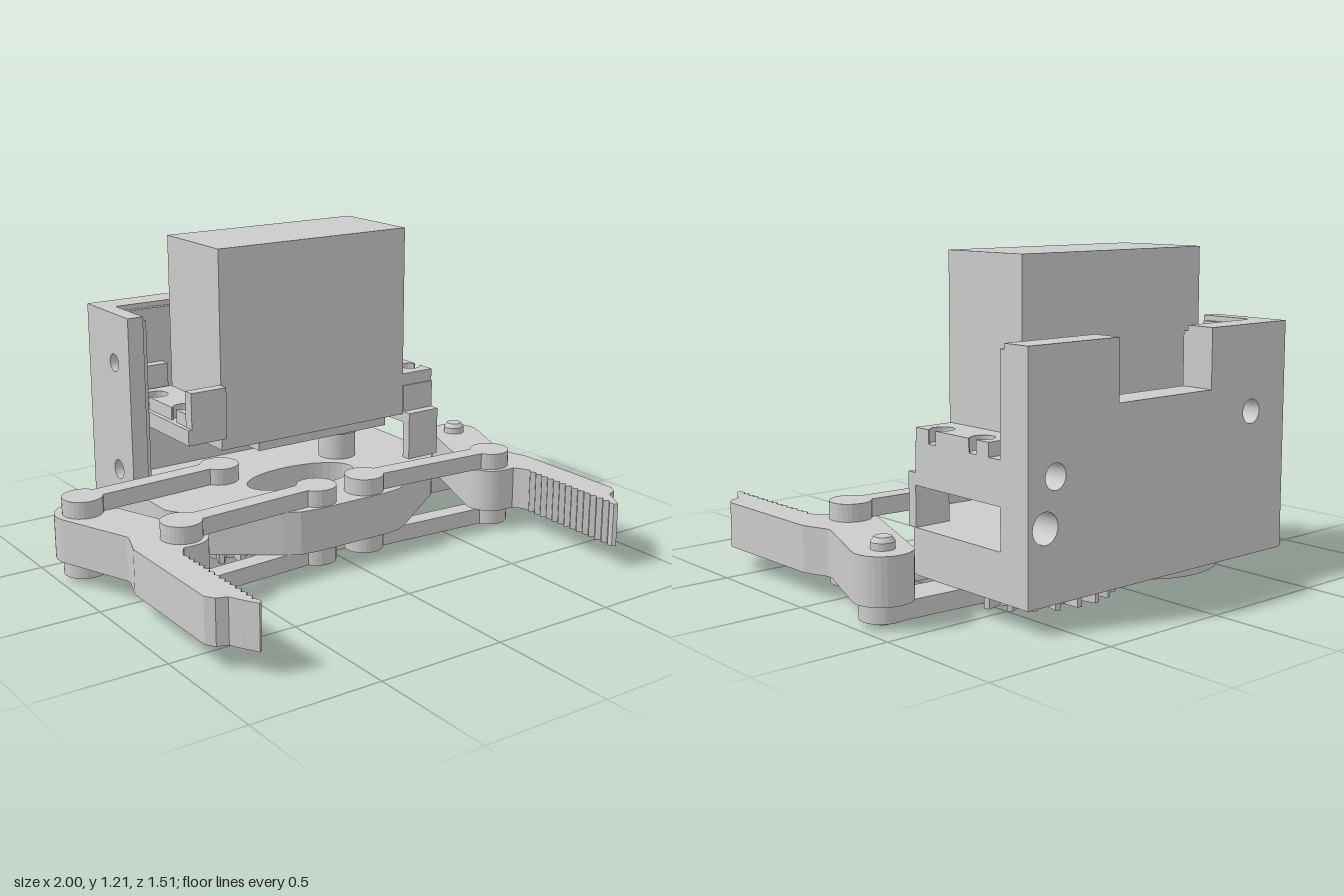
import * as THREE from 'three';

export function createModel() {
  const root = new THREE.Group();
  const mat = new THREE.MeshStandardMaterial({ color: 0xcccccc });
  const add = (name, geo, x = 0, y = 0, z = 0) => {
    const m = new THREE.Mesh(geo, mat);
    m.name = name;
    m.position.set(x, y, z);
    root.add(m);
    return m;
  };
  // box and vertical cylinder given by their limits
  const box = (name, x0, x1, y0, y1, z0, z1) =>
    add(name, new THREE.BoxGeometry(x1 - x0, y1 - y0, z1 - z0), (x0 + x1) / 2, (y0 + y1) / 2, (z0 + z1) / 2);
  const cyl = (name, x, z, y0, y1, r, rTop = r) =>
    add(name, new THREE.CylinderGeometry(rTop, r, y1 - y0, 28), x, (y0 + y1) / 2, z);
  const shapeOf = (pts, holes = []) => {
    const s = new THREE.Shape(pts.map(p => new THREE.Vector2(p[0], p[1])));
    for (const [x, y, rx, ry = rx] of holes)
      s.holes.push(new THREE.Path().absellipse(x, y, rx, ry, 0, Math.PI * 2, true));
    return s;
  };
  const extrude = (shape, depth) =>
    new THREE.ExtrudeGeometry(shape, { depth, bevelEnabled: false, curveSegments: 20 });
  // horizontal slab from an (x, z) outline
  const slab = (name, pts, y0, y1, holes) =>
    add(name, extrude(shapeOf(pts, holes), y1 - y0).rotateX(Math.PI / 2), 0, y1, 0);
  const arc = (cx, cz, r, a0, a1, n = 16) =>
    Array.from({ length: n + 1 }, (_, i) => {
      const a = a0 + (a1 - a0) * i / n;
      return [cx + r * Math.cos(a), cz + r * Math.sin(a)];
    });
  // link bar with a round eye at each end
  const link = (name, a, b, y0, y1, r = 0.077, w = 0.037) => {
    const dx = b[0] - a[0], dz = b[1] - a[1], L = Math.hypot(dx, dz);
    const d = Math.atan2(dz, dx), t = Math.asin(w / r);
    const pts = [
      ...arc(a[0], a[1], r, d + t, d + 2 * Math.PI - t, 24),
      ...arc(a[0] + dx, a[1] + dz, r, d - Math.PI + t, d + Math.PI - t, 24),
    ];
    return L > 0 && slab(name, pts, y0, y1);
  };

  // base plate with an oval window
  const half = [[0.635, -0.76], [0.635, -0.18], [0.622, -0.145], [0.59, -0.112],
    [0.29, 0.1], [0.23, 0.135], [0.16, 0.145]];
  slab('basePlate', [...half, ...half.map(([x, z]) => [-x, z]).reverse()], 0.085, 0.255,
    [[0, -0.21, 0.24, 0.125]]);

  // notched back plate, with a slightly lower inner layer
  const backPlate = (name, top, z0, depth) => add(name, extrude(shapeOf(
    [[-0.635, 0.255], [0.635, 0.255], [0.635, top], [0.23, top], [0.23, 0.72],
      [-0.23, 0.72], [-0.23, top], [-0.635, top]],
    [[0.515, 0.51, 0.045], [0.56, 0.345, 0.055], [-0.45, 0.62, 0.045]]), depth), 0, 0, z0);
  backPlate('backPlate', 0.94, -0.76, 0.115);
  backPlate('backPlateInner', 0.92, -0.645, 0.02);

  // side wall on the right
  const sideWall = (name, top, x1, depth, z1) => add(name, extrude(shapeOf(
    [[-0.645, 0.255], [z1, 0.255], [z1, top], [-0.645, top]],
    [[-0.54, 0.315, 0.038], [-0.545, 0.745, 0.035]]), depth).rotateY(-Math.PI / 2), x1, 0, 0);
  sideWall('sideWall', 0.94, -0.57, 0.065, -0.42);
  sideWall('sideWallInner', 0.92, -0.55, 0.02, -0.435);

  // motor supports: a bridge on the left, a lipped cradle on the right
  box('leftMountBar', 0.487, 0.635, 0.405, 0.56, -0.625, -0.175);
  box('leftMountPost', 0.487, 0.635, 0.255, 0.45, -0.175, -0.135);
  box('rightMountFloor', -0.55, -0.385, 0.5, 0.56, -0.625, -0.13);
  for (const z of [-0.175, -0.625])
    box('rightMountLip', -0.535, -0.385, 0.56, 0.7, z, z + 0.045);

  // motor body, slotted ears and output shaft
  box('motorBody', -0.38, 0.483, 0.44, 1.213, -0.56, -0.177);
  box('motorUnderside', -0.21, 0.4, 0.405, 0.44, -0.555, -0.185);
  for (const [s, xi, xe, xh] of [[1, 0.48, 0.635, 0.59], [-1, -0.375, -0.532, -0.487]]) {
    const pts = [[xi, -0.567], [xe, -0.567]];
    for (const z of [-0.485, -0.27]) {
      const eye = arc(0, z, 0.043, -0.45, -(2 * Math.PI - 0.45), 18).map(([x, q]) => [xh + s * x, q]);
      pts.push([xe, eye[0][1]], ...eye, [xe, eye[18][1]]);
    }
    pts.push([xe, -0.18], [xi, -0.18]);
    slab('motorEar', pts, 0.56, 0.61);
  }
  cyl('shaftCollar', 0.285, -0.365, 0.385, 0.41, 0.11);
  cyl('shaftFlange', 0.285, -0.365, 0.365, 0.385, 0.09);
  cyl('outputShaft', 0.285, -0.365, 0.085, 0.365, 0.077);

  // gears: the right one is toothed only along its meshing front arc
  const gear = (name, cx, phase, toothed) => {
    const n = 24, pts = [];
    for (let i = 0; i < n; i++) {
      const a = (i + phase) * 2 * Math.PI / n;
      for (const [f, r] of [[-0.28, 0.255], [-0.12, 0.315], [0.12, 0.315], [0.28, 0.255]]) {
        const q = a + f * 2 * Math.PI / n;
        pts.push([cx + (toothed(a) ? r : 0.295) * Math.cos(q), -0.365 + (toothed(a) ? r : 0.295) * Math.sin(q)]);
      }
    }
    slab(name, pts, 0.02, 0.085, [[cx, -0.365, 0.028]]);
  };
  gear('driveGear', 0.285, 0.5, () => true);
  gear('idlerGear', -0.285, 0, a => Math.sin(a + 0.5) > -0.1);

  for (const s of [1, -1]) {
    const side = s > 0 ? 'left' : 'right';
    const pivot = [0.895 * s, -0.33], knee = [0.718 * s, 0.102], front = [0.112 * s, 0.063];

    // finger with a serrated gripping edge
    const pts = [[0.795, -0.36], ...arc(0.895, -0.335, 0.105, -Math.PI + 0.2, 0.35),
      [0.88, -0.01], [0.88, 0.01], [0.915, 0.11], [0.918, 0.6], [0.895, 0.635],
      [0.855, 0.65], [0.835, 0.69], [0.8, 0.75], [0.787, 0.74]];
    for (let i = 0; i < 14; i++) {
      const z = 0.72 - i * 0.034;
      pts.push([0.785, z], [0.8, z - 0.017]);
    }
    pts.push([0.785, 0.23], [0.765, 0.2], ...arc(0.718, 0.105, 0.095, Math.PI / 2, Math.PI + 0.35));
    slab(side + 'Finger', pts.map(([x, z]) => [x * s, z]), 0.085, 0.255);

    // gear arm and the pair of front links
    link(side + 'GearArm', pivot, [0.46 * s, -0.355], 0.02, 0.085, 0.08, 0.073);
    link(side + 'LowerLink', knee, front, 0.02, 0.085);
    link(side + 'UpperLink', knee, front, 0.255, 0.32);

    // screw heads below
    for (const p of [pivot, knee, front]) cyl('screwHead', p[0], p[1], 0, 0.02, 0.024, 0.032);
  }
  cyl('screwHead', -0.285, -0.365, 0, 0.03, 0.024, 0.032);

  // rear upper link on the right, pivot pin on the left
  link('rearUpperLink', [-0.895, -0.33], [-0.285, -0.365], 0.255, 0.32);
  cyl('pivotPin', 0.89, -0.33, 0.255, 0.28, 0.042);
  cyl('pivotPinCap', 0.89, -0.33, 0.28, 0.297, 0.042, 0.03);

  return root;
}
